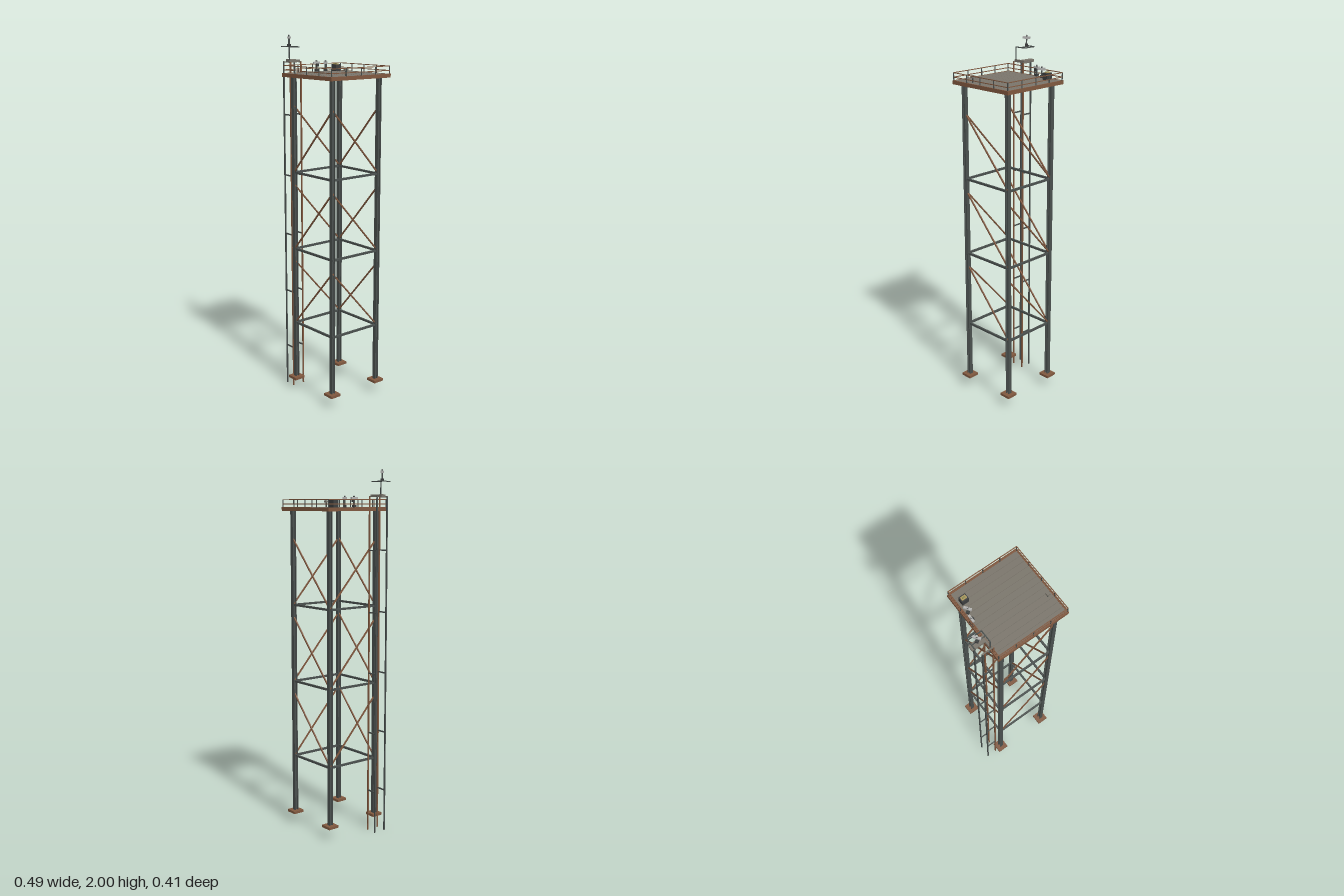
import * as THREE from 'three';

const mat = (color) => new THREE.MeshStandardMaterial({ color });
const steel = mat(0x4a504e), rust = mat(0x80583f), grey = mat(0x7a756b),
  dark = mat(0x3c3e3e), pale = mat(0xb4b4b2), tan = mat(0xb09a60), under = mat(0x333333);

const CX = 0.04;      // tower centre in x
const LEG = 0.16;     // half spacing of the legs
const DECK = 1.803;   // top of the deck

export function createModel() {
  const root = new THREE.Group();

  const group = (name, parent = root) => {
    const g = new THREE.Group();
    g.name = name;
    parent.add(g);
    return g;
  };
  const box = (name, parent, m, w, h, d, x, y, z) => {
    const b = new THREE.Mesh(new THREE.BoxGeometry(w, h, d), m);
    b.name = name;
    b.position.set(x, y, z);
    parent.add(b);
    return b;
  };
  // Square bar between two points
  const bar = (name, parent, m, a, b, t) => {
    const p = new THREE.Vector3(...a), q = new THREE.Vector3(...b);
    const mesh = box(name, parent, m, t, t, p.distanceTo(q), 0, 0, 0);
    mesh.position.copy(p).add(q).multiplyScalar(0.5);
    mesh.lookAt(q);
    return mesh;
  };

  // H-section legs on footing plates
  const tower = group('tower');
  for (const sx of [-1, 1]) for (const sz of [-1, 1]) {
    const x = CX + sx * LEG, z = sz * LEG;
    const leg = group('leg', tower);
    const h = 1.79 - 0.07, y = 0.07 + h / 2;
    for (const s of [-1, 1]) box('legFlange', leg, steel, 0.022, h, 0.004, x, y, z + s * 0.009);
    box('legWeb', leg, steel, 0.005, h, 0.016, x, y, z);
    box('footPlate', leg, rust, 0.064, 0.014, 0.064, x, 0.069, z);
  }

  // Horizontal beams and one diagonal per bay on all four faces
  for (const y of [0.402, 0.836, 1.268]) {
    for (const s of [-1, 1]) {
      const x = CX + s * LEG, z = s * LEG;
      const x0 = CX - LEG, x1 = CX + LEG;
      bar('crossBeam', tower, steel, [x0, y, z], [x1, y, z], 0.011);
      bar('crossBeam', tower, steel, [x, y, -LEG], [x, y, LEG], 0.011);
      bar('brace', tower, rust, [x0, y + 0.005, z], [x1, y + 0.362, z], 0.007);
      bar('brace', tower, rust, [x, y + 0.005, -LEG], [x, y + 0.362, LEG], 0.007);
    }
  }

  // Planked deck inside a rim
  const deck = group('deck');
  box('deckUnderside', deck, under, 0.396, 0.012, 0.396, CX, 1.79, 0);
  const pitch = 0.397 / 12;
  for (let i = 0; i < 12; i++)
    box('plank', deck, grey, 0.394, 0.006, pitch - 0.0015, CX, 1.799, (i - 5.5) * pitch);
  for (const s of [-1, 1]) {
    box('rim', deck, rust, 0.408, 0.02, 0.007, CX, 1.793, s * 0.2005);
    box('rim', deck, rust, 0.007, 0.02, 0.394, CX + s * 0.2005, 1.793, 0);
  }

  // Guard rail
  const rail = group('guardRail');
  const R = 0.199;
  for (const s of [-1, 1]) {
    for (const y of [1.82, 1.843]) {
      bar('rail', rail, rust, [CX - R, y, s * R], [CX + R, y, s * R], 0.004);
      bar('rail', rail, rust, [CX + s * R, y, -R], [CX + s * R, y, R], 0.004);
    }
    for (let i = 0; i < 5; i++) {
      const t = -R + i * R / 2;
      box('railPost', rail, steel, 0.004, 0.043, 0.004, CX + t, 1.823, s * R);
      if (i > 0 && i < 4) box('railPost', rail, steel, 0.004, 0.043, 0.004, CX + s * R, 1.823, t);
    }
  }

  // Ladder frame: four uprights joined by rungs
  const ladder = group('ladder');
  for (const z of [0.083, 0.154]) {
    box('outerUpright', ladder, steel, 0.007, 1.86, 0.007, -0.216, 0.93, z);
    box('innerUpright', ladder, rust, 0.007, 1.86, 0.007, -0.157, 0.93, z);
    for (let i = 0; i < 5; i++)
      box('rung', ladder, steel, 0.06, 0.007, 0.006, -0.187, 0.235 + i * 0.335, z);
    box('topBracket', ladder, grey, 0.066, 0.006, 0.006, -0.187, 1.858, z);
  }

  // Small landing with a raised lamp frame
  const landing = group('landing');
  box('landingPlate', landing, grey, 0.074, 0.014, 0.03, -0.209, 1.863, 0.1);
  box('landingBeam', landing, grey, 0.01, 0.014, 0.073, -0.169, 1.863, 0.118);
  const Y = 1.937;
  const frame = [[-0.17, 1.866, 0.15], [-0.17, Y, 0.15], [-0.17, Y, 0.085],
    [-0.246, Y, 0.085], [-0.246, Y, 0.145]];
  for (let i = 0; i < 4; i++) bar('frameBar', landing, steel, frame[i], frame[i + 1], 0.005);
  bar('frameCrossbar', landing, steel, [-0.246, Y, 0.115], [-0.17, Y, 0.115], 0.004);

  // Lamps: base, stalk and turned head
  const lamp = (x, y, z, turn) => {
    const g = group('lamp');
    g.position.set(x, y, z);
    g.rotation.y = turn;
    box('lampBase', g, dark, 0.016, 0.012, 0.016, 0, 0.006, 0);
    box('lampStalk', g, steel, 0.007, 0.047, 0.007, 0, 0.0345, 0);
    box('lampHead', g, pale, 0.011, 0.012, 0.04, 0, 0.046, 0);
    box('lampTip', g, pale, 0.006, 0.006, 0.006, 0, 0.0575, 0);
    return g;
  };
  lamp(-0.217, 1.9395, 0.116, 0.6);
  lamp(-0.137, DECK, -0.073, 0.6);
  const edgeLamp = lamp(-0.153, DECK, -0.022, 0);
  box('lampDriver', edgeLamp, dark, 0.012, 0.016, 0.016, 0.007, 0.034, 0);

  // Control cabinet with a display panel
  const cabinet = group('cabinet');
  box('cabinetBody', cabinet, dark, 0.038, 0.036, 0.032, -0.118, DECK + 0.018, -0.132);
  box('cabinetPanel', cabinet, tan, 0.028, 0.006, 0.019, -0.118, DECK + 0.038, -0.132);
  box('cabinetDisplay', cabinet, mat(0x8d8a50), 0.018, 0.002, 0.008, -0.118, DECK + 0.0415, -0.132);

  // Junction box on a short post
  const junction = group('junctionBox');
  box('junctionPost', junction, steel, 0.005, 0.03, 0.005, 0.212, DECK + 0.015, 0.082);
  box('junctionTop', junction, grey, 0.018, 0.012, 0.018, 0.212, DECK + 0.031, 0.082);

  return root;
}
